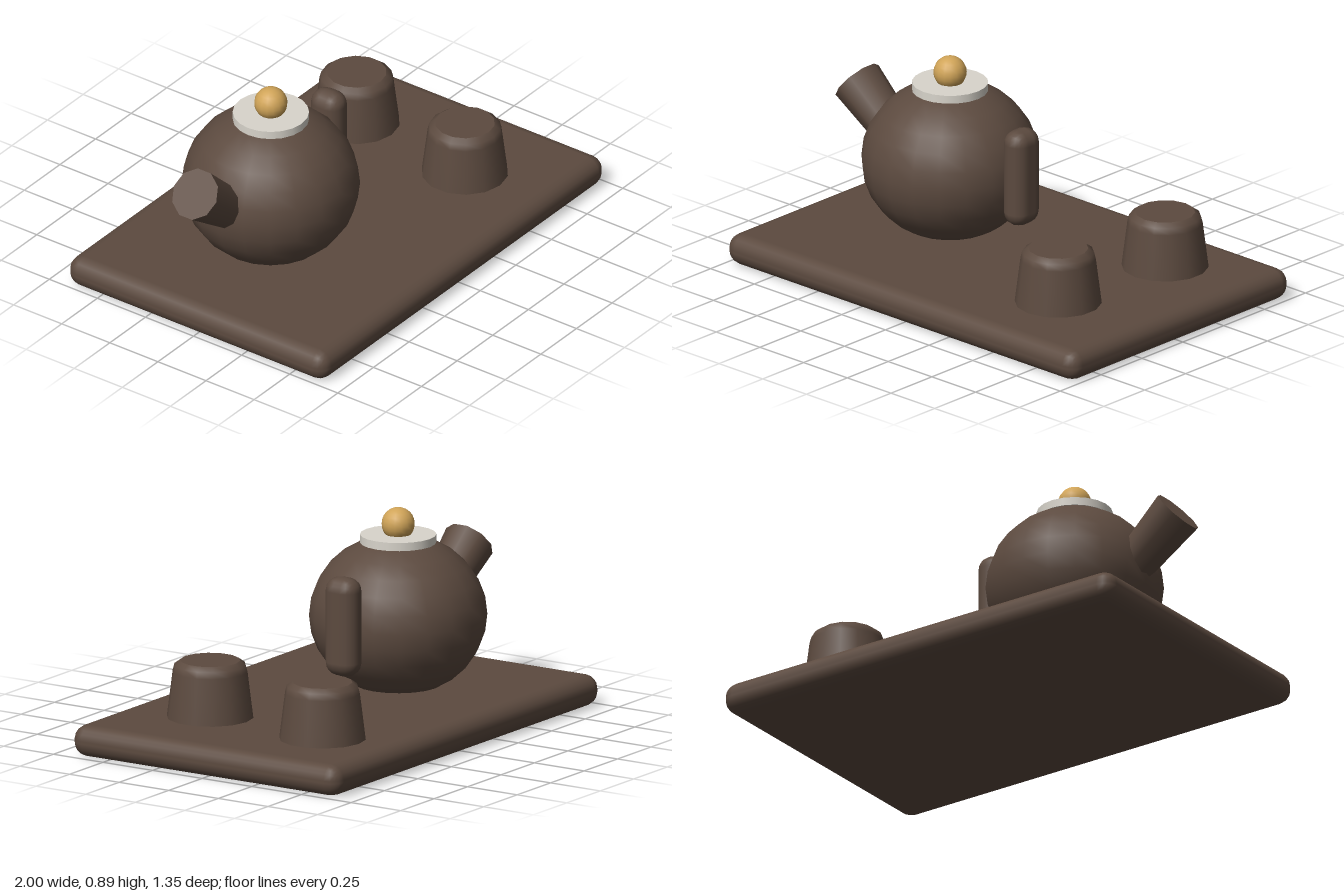
import * as THREE from 'three';
import { RoundedBoxGeometry } from 'three/addons/geometries/RoundedBoxGeometry.js';

export function createModel() {
  const group = new THREE.Group();
  const mat = (name, color) => {
    const m = new THREE.MeshStandardMaterial({ color });
    m.name = name;
    return m;
  };
  const clay = mat('brownClay', 0x5c4a3f);
  const cream = mat('creamLid', 0xd9d5cc);
  const gold = mat('goldKnob', 0xd0a458);

  const add = (name, geometry, material, x, y, z) => {
    const mesh = new THREE.Mesh(geometry, material);
    mesh.name = name;
    mesh.position.set(x, y, z);
    group.add(mesh);
    return mesh;
  };

  // Tray with rounded edges
  add('tray', new RoundedBoxGeometry(2, 0.135, 1.345, 2, 0.062), clay, 0, 0.0675, 0);

  // Teapot: squashed body, lid and knob share one axis
  const px = -0.383, pz = -0.055;
  add('potBody', new THREE.SphereGeometry(0.373, 20, 14), clay, px, 0.43, pz).scale.y = 0.915;
  add('potLid', new THREE.CylinderGeometry(0.16, 0.16, 0.035, 20), cream, px, 0.758, pz);
  add('lidKnob', new THREE.SphereGeometry(0.07, 16, 12), gold, px, 0.82, pz);

  // Spout flares slightly from the body to its tip
  const tip = new THREE.Vector3(-0.915, 0.637, pz);
  const root = new THREE.Vector3(-0.6, 0.385, pz);
  const axis = tip.clone().sub(root);
  const mid = tip.clone().add(root).multiplyScalar(0.5);
  const spout = add('spout', new THREE.CylinderGeometry(0.11, 0.08, axis.length(), 10), clay, mid.x, mid.y, mid.z);
  spout.quaternion.setFromUnitVectors(new THREE.Vector3(0, 1, 0), axis.normalize());

  // Upright grip at the side of the pot
  add('handle', new RoundedBoxGeometry(0.122, 0.425, 0.156, 2, 0.06), clay, 0.025, 0.462, pz);

  // Two cups with softened upper rims
  const profile = [[0, 0], [0.183, 0], [0.183, 0], [0.158, 0.2], [0.151, 0.228], [0.126, 0.246], [0.126, 0.246], [0, 0.246]]
    .map(([r, y]) => new THREE.Vector2(r, y));
  const cup = new THREE.LatheGeometry(profile, 14);
  for (const [x, z] of [[0.59, -0.33], [0.54, 0.27]]) add('cup', cup, clay, x, 0.132, z);

  return group;
}
